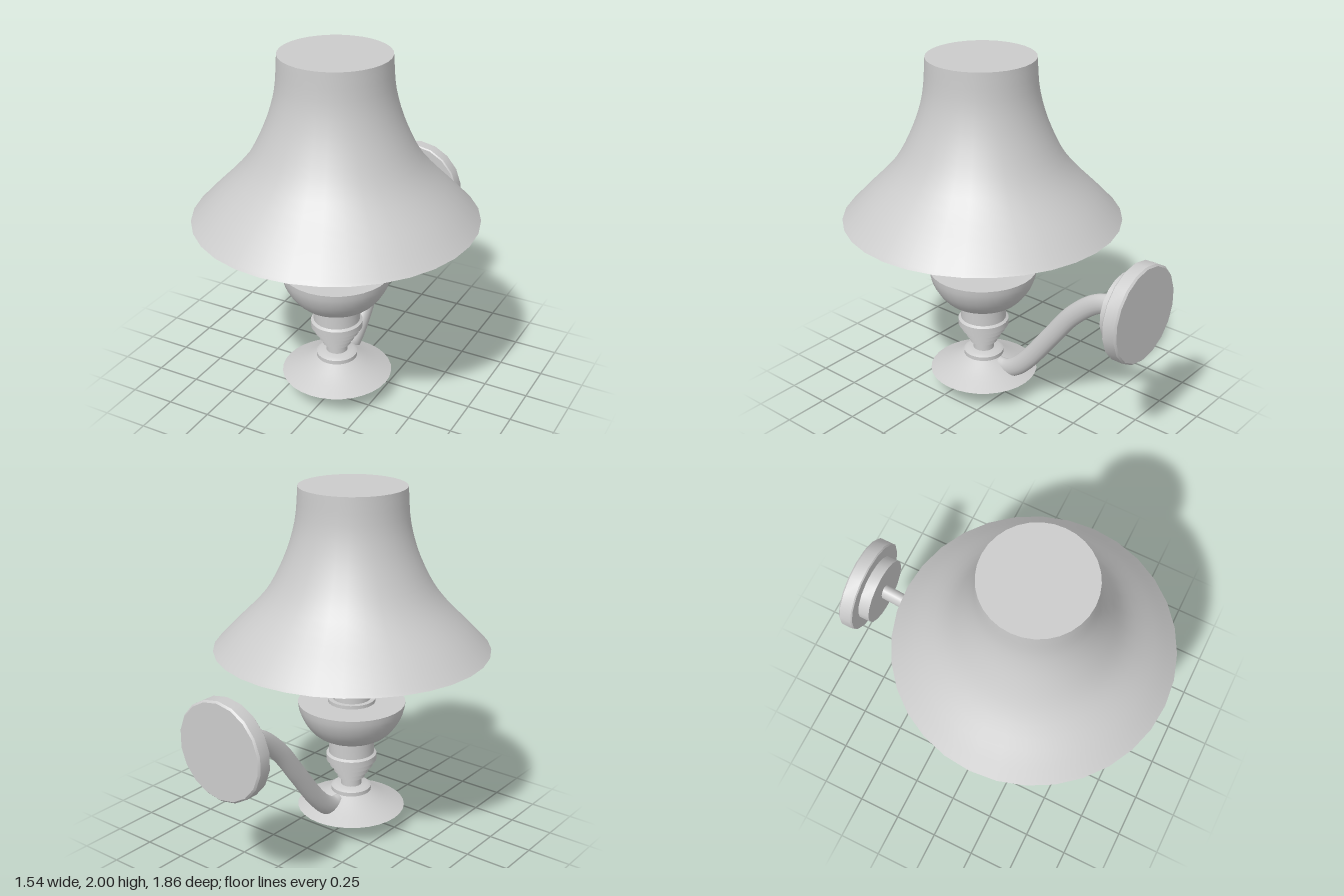
import * as THREE from 'three';
import { toCreasedNormals } from 'three/addons/utils/BufferGeometryUtils.js';

const AXIS_Z = 0.16; // vertical axis of the lamp
const PLATE_Y = 0.85; // height of the wall plate

const material = new THREE.MeshStandardMaterial({ color: 0xcccccc });

// Turned part from [radius, height] pairs, listed bottom to top
function turned(name, profile, sides) {
  const points = profile.map(([r, y]) => new THREE.Vector2(r, y));
  const geometry = toCreasedNormals(new THREE.LatheGeometry(points, sides), 0.6);
  const mesh = new THREE.Mesh(geometry, material);
  mesh.name = name;
  return mesh;
}

// Samples a smooth curve through a few [radius, height] pairs
function smooth(pairs, count) {
  const curve = new THREE.SplineCurve(pairs.map(([r, y]) => new THREE.Vector2(r, y)));
  return curve.getPoints(count).map((p) => [p.x, p.y]);
}

export function createModel() {
  const model = new THREE.Group();
  model.name = 'wallLamp';

  const lamp = new THREE.Group();
  lamp.name = 'lamp';
  lamp.position.z = AXIS_Z;
  model.add(lamp);

  // Flared shade, closed at both ends
  lamp.add(turned('shade', [
    [0, 1.1],
    ...smooth([[0.77, 1.1], [0.675, 1.2], [0.485, 1.4], [0.375, 1.6], [0.313, 1.8], [0.295, 2]], 20),
    [0, 2],
  ], 32));

  // Socket under the shade
  lamp.add(turned('socket', [
    [0, 0.915], [0.215, 0.915], [0.225, 0.95], [0.2, 0.965], [0.2, 1.1], [0, 1.1],
  ], 32));

  // Neck and its collar
  lamp.add(turned('neck', [
    [0, 0.77], [0.135, 0.77], [0.135, 0.79], [0.108, 0.79], [0.108, 0.915], [0, 0.915],
  ], 32));

  // Bowl
  lamp.add(turned('bowl', [
    [0, 0.545],
    ...smooth([[0.13, 0.545], [0.205, 0.58], [0.262, 0.645], [0.295, 0.715], [0.305, 0.77]], 12),
    [0, 0.77],
  ], 32));

  // Stepped stem
  lamp.add(turned('stem', [
    [0, 0.25], [0.06, 0.25], [0.06, 0.3], [0.08, 0.3], [0.08, 0.335], [0.1, 0.335],
    [0.1, 0.375], [0.125, 0.375], [0.125, 0.41], [0.145, 0.41], [0.145, 0.447],
    [0.13, 0.457], [0.13, 0.55], [0, 0.55],
  ], 32));

  // Dish with foot and upper collar
  lamp.add(turned('dish', [
    [0, 0], [0.065, 0], [0.065, 0.02],
    ...smooth([[0.075, 0.022], [0.13, 0.05], [0.215, 0.095], [0.31, 0.12]], 8),
    ...smooth([[0.31, 0.12], [0.205, 0.168], [0.115, 0.217]], 6),
    [0.115, 0.24], [0.095, 0.252], [0, 0.252],
  ], 32));

  // Curved arm: a tube slightly flattened sideways
  const path = new THREE.CatmullRomCurve3([
    [0.17, 0.03], [0.175, -0.02], [0.215, -0.09], [0.305, -0.18], [0.5, -0.33],
    [0.69, -0.48], [0.815, -0.64], [PLATE_Y, -0.8],
  ].map(([y, z]) => new THREE.Vector3(0, y, z)));
  const armGeometry = new THREE.TubeGeometry(path, 40, 0.055, 16);
  armGeometry.scale(0.7, 1, 1);
  const arm = new THREE.Mesh(armGeometry, material);
  arm.name = 'arm';
  model.add(arm);

  // Stepped wall plate, turned to face the front
  const plate = turned('wallPlate', [
    [0, 0], [0.262, 0], [0.272, 0.01], [0.272, 0.078], [0.265, 0.085],
    [0.193, 0.085], [0.193, 0.15], [0, 0.15],
  ], 18);
  plate.rotation.x = Math.PI / 2;
  plate.position.set(0, PLATE_Y, -0.93);
  model.add(plate);

  return model;
}
